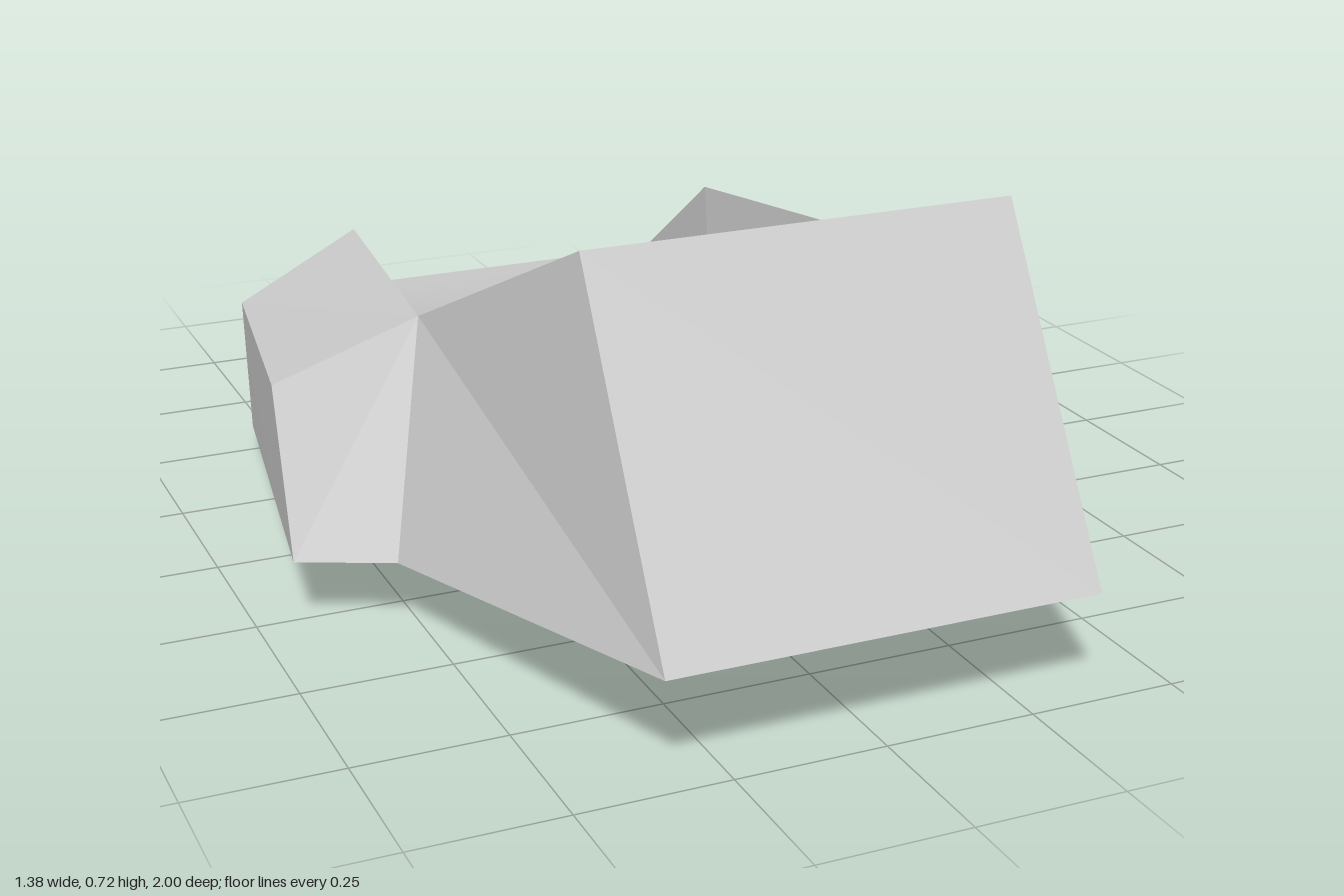
import * as THREE from 'three';
import { toCreasedNormals } from 'three/addons/utils/BufferGeometryUtils.js';

// Corner points of the +x half; the other half is mirrored
const P = {
  noseLow: [0.36, 0.18, 1], noseTop: [0.36, 0.72, 0.69],
  shoulder: [0.46, 0.495, 0.25], shoulderLow: [0.54, 0.12, 0.355],
  podTop: [0.69, 0.39, 0.19], podLow: [0.69, 0.115, 0.275],
  hip: [0.36, 0.44, -0.42], podRear: [0.59, 0.34, -0.375], podRearLow: [0.55, 0.047, -0.5],
  deckMid: [0.405, 0.357, -0.12], deckLow: [0.363, 0.266, -0.4], deckRear: [0.355, 0.235, -0.7],
  tail: [0.35, 0, -1],
};
const mirror = ([x, y, z]) => [-x, y, z];

// Fans each polygon into triangles
function facets(polygons, crease = 0.02) {
  const pos = [];
  for (const p of polygons)
    for (let i = 1; i < p.length - 1; i++) pos.push(...p[0], ...p[i], ...p[i + 1]);
  const g = new THREE.BufferGeometry();
  g.setAttribute('position', new THREE.Float32BufferAttribute(pos, 3));
  return toCreasedNormals(g, crease);
}

// Spans a strip of quads between the two halves along a row of points
function strip(names, crease) {
  const quads = [];
  for (let i = 0; i < names.length - 1; i++) {
    const a = P[names[i]], b = P[names[i + 1]];
    quads.push([a, b, mirror(b), mirror(a)]);
  }
  return facets(quads, crease);
}

export function createModel() {
  const group = new THREE.Group();
  const hullGrey = new THREE.MeshStandardMaterial({ color: 0xcccccc });
  hullGrey.name = 'hullGrey';
  const add = (name, geometry) => {
    const mesh = new THREE.Mesh(geometry, hullGrey);
    mesh.name = name;
    group.add(mesh);
  };

  // Centre: front plate, sunken deck with soft bends, flat belly
  add('frontPlate', strip(['noseLow', 'noseTop']));
  add('deck', strip(['noseTop', 'shoulder', 'deckMid', 'deckLow', 'deckRear', 'tail'], 0.4));
  add('belly', strip(['tail', 'podRearLow', 'podLow', 'shoulderLow', 'noseLow'], 0.4));

  // Flanks and side pods, mirrored with the winding reversed
  const sideParts = {
    NoseFlank: [['noseLow', 'shoulderLow', 'shoulder', 'noseTop']],
    Pod: [
      ['shoulder', 'shoulderLow', 'podLow', 'podTop'],
      ['podLow', 'podRearLow', 'podRear', 'podTop'],
      ['shoulder', 'podTop', 'podRear', 'hip'],
      ['hip', 'podRear', 'podRearLow'],
    ],
    PodInnerWall: [['hip', 'deckRear', 'deckLow', 'deckMid', 'shoulder']],
    TailFlank: [['podRearLow', 'tail', 'deckRear', 'hip']],
  };
  for (const [part, faces] of Object.entries(sideParts)) {
    const polygons = faces.map((f) => f.map((n) => P[n]));
    add('left' + part, facets(polygons));
    // Keep the fan corner first while reversing the rest
    add('right' + part, facets(polygons.map(([a, ...rest]) => [a, ...rest.reverse()].map(mirror))));
  }
  return group;
}
